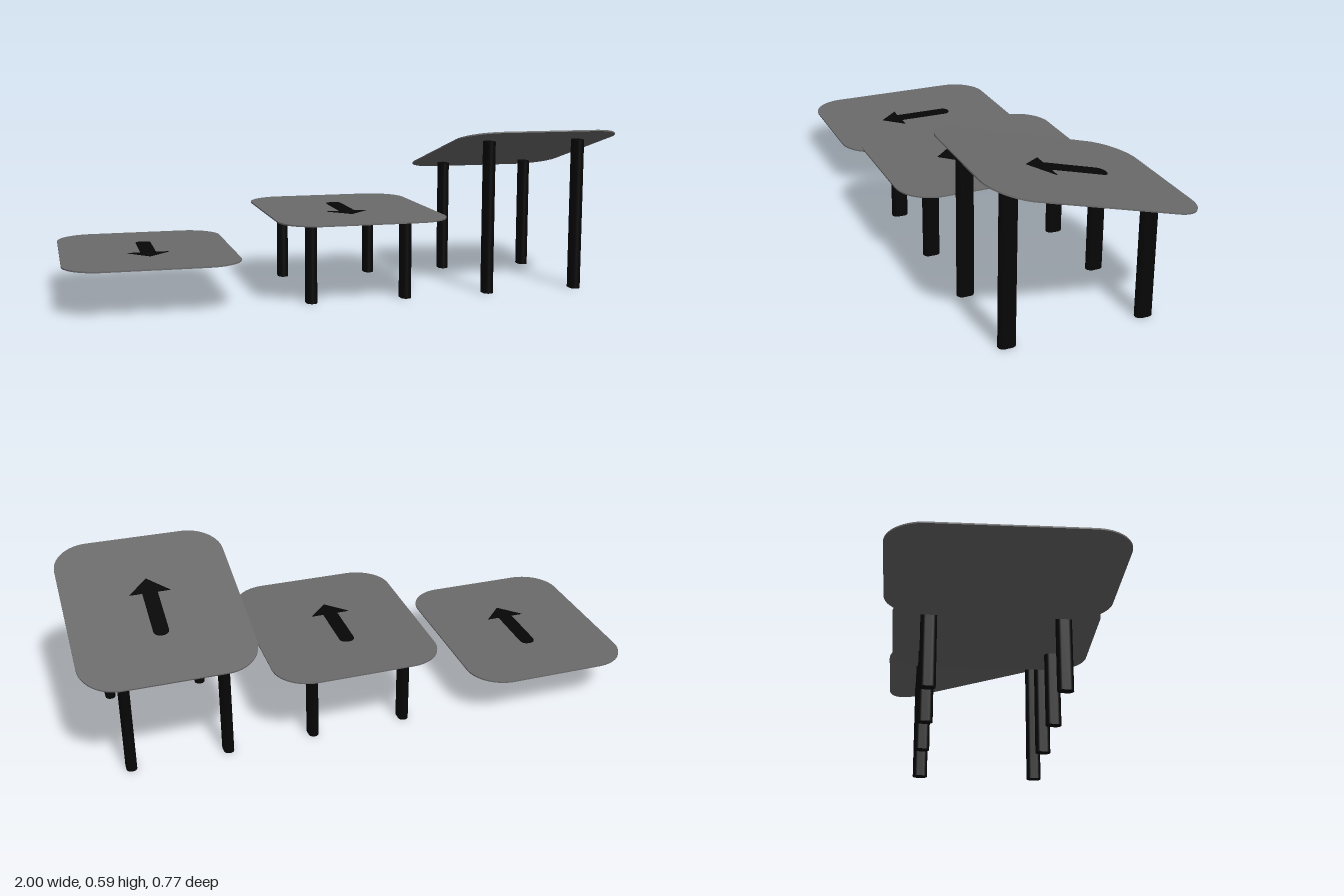
import * as THREE from 'three';

const grey = new THREE.MeshStandardMaterial({ color: 0x6a6a6a });
const black = new THREE.MeshStandardMaterial({ color: 0x060606 });

// Rounded rectangle centred on (cx, cy)
function roundedRect(w, h, r, cx = 0, cy = 0) {
  const s = new THREE.Shape();
  const x = w / 2 - r, y = h / 2 - r;
  s.absarc(cx + x, cy + y, r, 0, Math.PI / 2);
  s.absarc(cx - x, cy + y, r, Math.PI / 2, Math.PI);
  s.absarc(cx - x, cy - y, r, Math.PI, Math.PI * 1.5);
  s.absarc(cx + x, cy - y, r, Math.PI * 1.5, Math.PI * 2);
  s.closePath();
  return s;
}

// Extrudes a plan shape (x, z) upward from y = 0
function slab(name, shape, height, material) {
  const geo = new THREE.ExtrudeGeometry(shape, { depth: height, bevelEnabled: false, curveSegments: 12 });
  geo.rotateX(Math.PI / 2).translate(0, height, 0);
  const mesh = new THREE.Mesh(geo, material);
  mesh.name = name;
  return mesh;
}

const THICK = 0.005;

// Thin rounded plate with a direction arrow on top
function panel(name, arrowX, arrowZ) {
  const g = new THREE.Group();
  g.name = name;
  const plate = slab('plate', roundedRect(0.608, 0.75, 0.13), THICK, grey);
  plate.position.y = -THICK / 2;

  const arrow = new THREE.Group();
  arrow.name = 'arrow';
  const shaft = slab('arrowShaft', roundedRect(0.054, 0.246, 0.024, 0, -0.023), 0.003, black);
  const head = slab('arrowHead', new THREE.Shape([
    new THREE.Vector2(-0.072, 0.072),
    new THREE.Vector2(0.072, 0.072),
    new THREE.Vector2(0, 0.147),
  ]), 0.002, black);
  arrow.add(shaft, head);
  arrow.position.set(arrowX, THICK / 2, arrowZ);
  g.add(plate, arrow);
  return g;
}

// Four oval legs; front and back pairs may differ in height
function legs(name, xs, frontZ, backZ, frontH, backH) {
  const g = new THREE.Group();
  g.name = name;
  for (const x of xs) {
    for (const [z, h, label] of [[frontZ, frontH, 'frontLeg'], [backZ, backH, 'backLeg']]) {
      const leg = slab(label, roundedRect(0.037, 0.06, 0.0184), h, black);
      leg.position.set(x, 0, z);
      g.add(leg);
    }
  }
  return g;
}

export function createModel() {
  const model = new THREE.Group();
  model.name = 'steppedPanels';

  // Low floating panel
  const low = panel('lowPanel', 0.002, 0);
  low.position.set(-0.696, 0.1655, -0.0115);

  // Middle table
  const middle = panel('middlePanel', -0.01, 0);
  middle.position.set(0.035, 0.2905, 0.013);
  const middleLegs = legs('middleLegs', [-0.149, 0.195], 0.253, -0.232, 0.289, 0.289);

  // High table, tilted up at the front
  const high = panel('highPanel', 0, -0.008);
  high.position.set(0.696, 0.4935, -0.014);
  high.rotation.x = -THREE.MathUtils.degToRad(15);
  const highLegs = legs('highLegs', [0.509, 0.853], 0.249, -0.236, 0.551, 0.424);

  model.add(low, middle, middleLegs, high, highLegs);
  return model;
}
